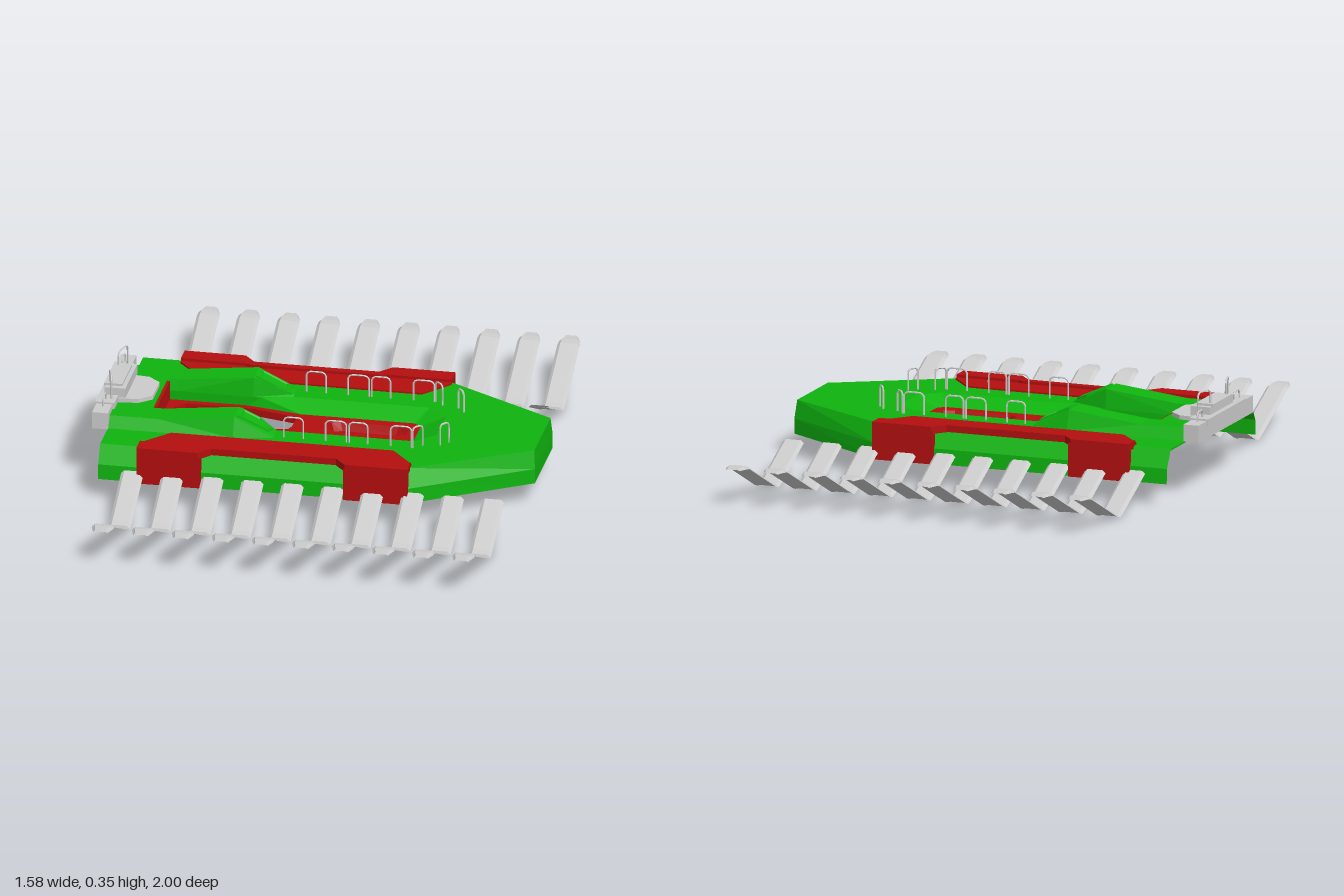
import * as THREE from 'three';

const paint = (color) => new THREE.MeshStandardMaterial({ color, flatShading: true, side: THREE.DoubleSide });

export function createModel() {
  const root = new THREE.Group();
  const green = paint(0x0fb40f), red = paint(0xb40f0f), grey = paint(0xcccccc);

  const add = (name, geo, mat, parent = root) => {
    const m = new THREE.Mesh(geo, mat);
    m.name = name;
    parent.add(m);
    return m;
  };
  const group = (name) => {
    const g = new THREE.Group();
    g.name = name;
    root.add(g);
    return g;
  };
  // Box given by its lower and upper corners
  const box = (name, a, b, mat, parent) => {
    const m = add(name, new THREE.BoxGeometry(b[0] - a[0], b[1] - a[1], b[2] - a[2]), mat, parent);
    m.position.set((a[0] + b[0]) / 2, (a[1] + b[1]) / 2, (a[2] + b[2]) / 2);
    return m;
  };
  // Skin between rings of [x, y, z] points
  const loft = (rings, closed = false) => {
    const n = rings[0].length, idx = [];
    for (let i = 0; i < rings.length - 1; i++) {
      for (let j = 0; j < (closed ? n : n - 1); j++) {
        const k = (j + 1) % n, a = i * n, b = a + n;
        idx.push(a + j, a + k, b + j, a + k, b + k, b + j);
      }
    }
    let g = new THREE.BufferGeometry();
    g.setAttribute('position', new THREE.Float32BufferAttribute(rings.flat(2), 3));
    g.setIndex(idx);
    g = g.toNonIndexed();
    g.computeVertexNormals();
    return g;
  };
  // Horizontal plate from an [x, z] outline with optional holes
  const plate = (pts, y0, y1, holes = []) => {
    const vec = (p) => p.map(([x, z]) => new THREE.Vector2(x, z));
    const s = new THREE.Shape(vec(pts));
    for (const h of holes) s.holes.push(new THREE.Path(vec(h)));
    const g = new THREE.ExtrudeGeometry(s, { depth: y1 - y0, bevelEnabled: false });
    return g.rotateX(Math.PI / 2).translate(0, y1, 0);
  };
  // Mirror a half outline across z = 0
  const both = (half) => [...half, ...half.map(([x, z]) => [x, -z]).reverse()];
  const at = (pts, y) => pts.map(([x, z]) => [x, y, z]);

  // Hull shell: open below and at the stern
  const hullLine = (w, f, tip) => both([[-0.73, w], [0.38, w], [tip, f]]);
  const wellTop = both([[-0.59, 0.12], [-0.25, 0.12], [-0.15, 0.15], [0.35, 0.15], [0.42, 0.08]]);
  const wellLow = both([[-0.59, 0.12], [-0.3, 0.12], [-0.1, 0.08], [0.31, 0.08], [0.335, 0.06]]);
  add('hullSkirt', loft([
    at(hullLine(0.425, 0.16, 0.79), 0.08),
    at(hullLine(0.422, 0.16, 0.79), 0.135),
    at(hullLine(0.385, 0.145, 0.785), 0.2),
  ]), green);
  add('deck', plate(hullLine(0.385, 0.145, 0.785), 0.194, 0.2, [wellTop]), green);
  add('wellWall', loft([at(wellTop, 0.2), at(wellLow, 0.165)], true), green);

  // Red well floor with the through opening and a sunken tray
  const opening = both([[-0.55, 0.06], [-0.52, 0.095], [-0.28, 0.095], [-0.12, 0.055], [-0.11, 0.03]]);
  const trayTop = both([[0.02, 0.03], [0.05, 0.045], [0.26, 0.04], [0.3, 0.025]]);
  const trayLow = trayTop.map(([x, z]) => [0.16 + (x - 0.16) * 0.92, z * 0.7]);
  add('wellFloor', plate(wellLow, 0.14, 0.166, [opening, trayTop]), red);
  add('trayWall', loft([at(trayTop, 0.166), at(trayLow, 0.135)], true), red);
  add('trayFloor', plate(trayLow, 0.13, 0.136), red);
  box('openingRearWall', [-0.592, 0.165, -0.118], [-0.58, 0.236, 0.118], red);
  box('sternBridge', [-0.73, 0.196, -0.225], [-0.59, 0.24, 0.225], green);

  // Shoulder humps either side of the opening: [x, height, outer z, inner z]
  const stations = [[-0.73, 0.24, 0.25, 0.12], [-0.55, 0.24, 0.25, 0.12],
    [-0.28, 0.27, 0.25, 0.12], [-0.14, 0.206, 0.22, 0.15]];
  for (const s of [1, -1]) {
    const hump = group(s > 0 ? 'leftHump' : 'rightHump');
    add('humpShell', loft(stations.map(([x, h, zo, zi]) => [
      [x, 0.2, s * zo], [x, h, s * (zo - 0.025)], [x, h, s * (zi + 0.01)], [x, 0.2, s * zi],
    ])), green, hump);
    // Raised frame lying on the hump's forward slope
    const slope = (x) => 0.272 - (x + 0.28) * 0.457;
    const rim = [[-0.275, 0.14], [-0.2, 0.14], [-0.15, 0.17], [-0.16, 0.205], [-0.275, 0.21]];
    const scale = (k, dy) => rim.map(([x, z]) => {
      const px = -0.21 + (x + 0.21) * k;
      return [px, slope(px) + dy, s * (0.175 + (z - 0.175) * k)];
    });
    add('slopeFrame', loft([scale(1, -0.003), scale(0.95, 0.006), scale(0.8, 0.006), scale(0.7, 0.001)], true), green, hump);
  }

  // Red side armour: thin inner plate, raised ridge and two side cheeks
  const innerPlate = [[-0.59, 0.38], [0.385, 0.38], [0.385, 0.36], [0.3, 0.257], [-0.5, 0.257], [-0.59, 0.36]];
  const ridge = [[-0.59, 0.437], [-0.37, 0.437], [-0.33, 0.39], [0.12, 0.39], [0.16, 0.437],
    [0.385, 0.437], [0.385, 0.37], [0.15, 0.37], [0.13, 0.362], [-0.34, 0.362], [-0.36, 0.37], [-0.59, 0.37]];
  for (const s of [1, -1]) {
    const armour = group(s > 0 ? 'leftArmour' : 'rightArmour');
    const flip = (p) => p.map(([x, z]) => [x, s * z]);
    add('innerPlate', plate(flip(innerPlate), 0.198, 0.206), red, armour);
    add('ridge', plate(flip(ridge), 0.19, 0.216), red, armour);
    for (const [x0, x1] of [[-0.59, -0.36], [0.155, 0.385]]) {
      box('sideCheek', [x0, 0.08, s > 0 ? 0.412 : -0.437], [x1, 0.2, s > 0 ? 0.437 : -0.412], red, armour);
    }
  }

  // Bent paddles with down-turned edges: [z, y, half width]
  const bend = [[0.42, 0.122, 0.04], [0.635, 0.02, 0.04], [0.66, 0.013, 0.04], [0.685, 0.02, 0.04],
    [0.94, 0.138, 0.04], [0.965, 0.142, 0.038], [1, 0.142, 0.026]];
  for (const s of [1, -1]) {
    const row = group(s > 0 ? 'leftPaddles' : 'rightPaddles');
    for (let i = 0; i < 10; i++) {
      const x = -0.607 + i * 0.1442;
      add('paddle', loft(bend.map(([z, y, w]) => [
        [x - w, y - 0.01, s * z], [x - w * 0.72, y, s * z], [x + w * 0.72, y, s * z],
        [x + w, y - 0.01, s * z], [x + w * 0.72, y - 0.007, s * z], [x - w * 0.72, y - 0.007, s * z],
      ]), true), grey, row);
    }
  }

  // Hoop rails, each between two foot points
  const hoop = (parent, [xa, za], [xb, zb], y0, y1) => {
    const a = new THREE.Vector3(xa, y0, za), b = new THREE.Vector3(xb, y0, zb);
    const top = (t, y) => a.clone().lerp(b, t).setY(y);
    const path = new THREE.CatmullRomCurve3(
      [a, top(0, y1 - 0.012), top(0.15, y1), top(0.85, y1), top(1, y1 - 0.012), b], false, 'catmullrom', 0.1);
    add('hoopRail', new THREE.TubeGeometry(path, 24, 0.0035, 5), grey, parent);
  };
  const feet = [[[-0.105, 0.205], [-0.035, 0.205]], [[0.045, 0.205], [0.12, 0.205]], [[0.13, 0.205], [0.197, 0.205]],
    [[0.28, 0.205], [0.355, 0.205]], [[0.36, 0.208], [0.39, 0.18]], [[0.45, 0.165], [0.475, 0.135]]];
  const rails = group('deckRails');
  for (const s of [1, -1]) {
    for (const [a, b] of feet) hoop(rails, [a[0], s * a[1]], [b[0], s * b[1]], 0.18, 0.278);
  }

  // Stern platform with its console and rails
  const stern = group('sternPlatform');
  box('crossBeam', [-0.785, 0.2, -0.26], [-0.728, 0.262, 0.26], grey, stern);
  box('beamLip', [-0.79, 0.245, -0.18], [-0.72, 0.268, 0.18], grey, stern);
  add('platformStep', plate(both([[-0.74, 0.11], [-0.65, 0.1], [-0.605, 0.06]]), 0.238, 0.255), grey, stern);
  box('console', [-0.77, 0.26, -0.11], [-0.695, 0.295, 0.11], grey, stern);
  box('consoleTop', [-0.775, 0.29, -0.09], [-0.71, 0.303, 0.09], grey, stern);
  for (const s of [1, -1]) {
    hoop(stern, [-0.757, s * 0.075], [-0.737, s * 0.145], 0.25, 0.352);
    hoop(stern, [-0.757, s * 0.15], [-0.757, s * 0.2], 0.255, 0.295);
  }
  return root;
}
